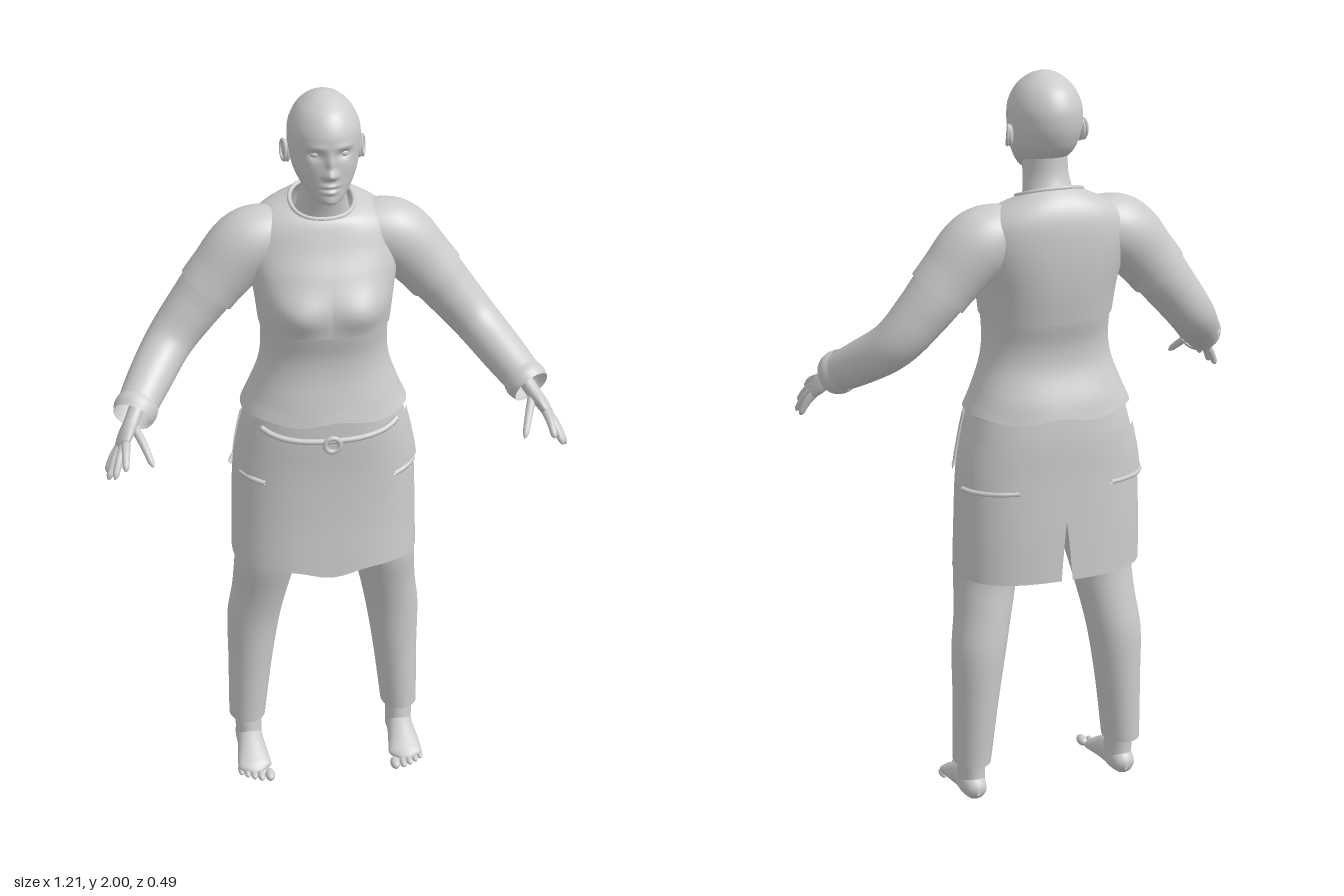
import * as THREE from 'three';
import { mergeVertices } from 'three/addons/utils/BufferGeometryUtils.js';

const V = (x, y, z) => new THREE.Vector3(x, y, z);
const gauss = (d, s) => Math.exp(-((d / s) ** 2));

// Smooth value of every column of rows [key, ...values] at a key
function sample(rows, k) {
  let i = 0;
  while (i < rows.length - 2 && k > rows[i + 1][0]) i++;
  const a = rows[i], b = rows[i + 1], p = rows[Math.max(i - 1, 0)], q = rows[Math.min(i + 2, rows.length - 1)];
  const h = b[0] - a[0], t = THREE.MathUtils.clamp((k - a[0]) / h, 0, 1);
  return a.map((_, c) => {
    const m0 = (b[c] - p[c]) / (b[0] - p[0]) * h, m1 = (q[c] - a[c]) / (q[0] - a[0]) * h;
    return (2 * t ** 3 - 3 * t * t + 1) * a[c] + (t ** 3 - 2 * t * t + t) * m0
      + (3 * t * t - 2 * t ** 3) * b[c] + (t ** 3 - t * t) * m1;
  });
}

// Point on a body of rows [y, halfWidth, zFront, zBack, centreX, frontLift]; angle 0 = back, PI = front
function surf(rows, y, th, { n = 2, off = 0, rule } = {}) {
  const [, hw, zf, zb, cx = 0, lift = 0] = sample(rows, y);
  const pw = (v) => Math.sign(v) * Math.abs(v) ** (2 / n), c = -Math.cos(th);
  const p = V(cx + pw(Math.sin(th)) * (hw + off), y + lift * c, (zf + zb) / 2 + pw(c) * ((zf - zb) / 2 + off));
  if (rule) rule(p);
  return p;
}

function grid(S, N, point, flip) {
  const pos = [], idx = [];
  for (let j = 0; j <= N; j++) for (let i = 0; i <= S; i++) pos.push(...point(i / S, j / N).toArray());
  for (let j = 0; j < N; j++) for (let i = 0; i < S; i++) {
    const a = j * (S + 1) + i, b = a + S + 1;
    if (flip) idx.push(a, a + 1, b, b, a + 1, b + 1);
    else idx.push(a, b, a + 1, b, b + 1, a + 1);
  }
  const g = new THREE.BufferGeometry();
  g.setAttribute('position', new THREE.Float32BufferAttribute(pos, 3));
  g.setIndex(idx);
  const m = mergeVertices(g, 1e-5);
  m.computeVertexNormals();
  return m;
}

// Stacked horizontal rings, or a patch of them
function loft(rows, o = {}) {
  const { y0 = rows[0][0], y1 = rows.at(-1)[0], a0 = 0, a1 = Math.PI * 2, S = 64, N = 40, gap, ease } = o;
  return grid(S, N, (u, v) => {
    const y = y0 + (y1 - y0) * (ease ? (1 - Math.cos(Math.PI * v)) / 2 : v);
    const g = gap ? gap(y) : 0;
    return surf(rows, y, a0 + g + (a1 - a0 - 2 * g) * u, o);
  });
}

// Oval tube through points [x, y, z, radiusU, radiusV]
function sweep(pts, { ref = V(0, 0, 1), round = false, S = 24, N = 24 } = {}) {
  const curve = new THREE.CatmullRomCurve3(pts.map((p) => V(p[0], p[1], p[2])));
  const radii = pts.map((p, i) => [i / (pts.length - 1), p[3], p[4] ?? p[3]]);
  return grid(S, N, (u, v) => {
    const t = round ? Math.sin(v * Math.PI / 2) : v;
    const end = round ? Math.sqrt(Math.max(0, Math.min(1, (1 - t) / 0.12))) : 1;
    const T = curve.getTangent(t), U = ref.clone().cross(T).normalize(), W = T.clone().cross(U);
    const [, a, b] = sample(radii, t), th = u * Math.PI * 2;
    return curve.getPoint(t).addScaledVector(U, Math.cos(th) * a * end).addScaledVector(W, Math.sin(th) * b * end);
  }, true);
}

const ball = (x, y, z, a, b, c) => new THREE.SphereGeometry(1, 20, 14).scale(a, b, c).translate(x, y, z);

export function createModel() {
  const model = new THREE.Group();
  model.name = 'figure';
  const grey = new THREE.MeshStandardMaterial({ color: 0xcccccc, side: THREE.DoubleSide });
  grey.name = 'plainGrey';
  const add = (name, g) => {
    const m = new THREE.Mesh(g, grey);
    m.name = name;
    model.add(m);
  };
  // Adds a part on the left and its mirror image on the right
  const pair = (name, g) => {
    add(name + 'Left', g);
    const r = g.clone().scale(-1, 1, 1);
    r.index.array.reverse();
    add(name + 'Right', r);
  };

  // Head with a face raised from smooth bumps [x, y, widthX, widthY, height]
  const bumps = [[0, 1.845, 0.01, 0.022, 0.01], [0, 1.817, 0.012, 0.011, 0.021], [0.013, 1.811, 0.007, 0.007, 0.006],
    [0.036, 1.866, 0.018, 0.012, -0.013], [0.035, 1.888, 0.025, 0.008, 0.004], [0.05, 1.83, 0.02, 0.02, 0.003],
    [0, 1.785, 0.02, 0.005, 0.007], [0, 1.777, 0.022, 0.003, -0.003], [0, 1.768, 0.017, 0.006, 0.007],
    [0, 1.742, 0.018, 0.012, 0.004]];
  const face = (p) => {
    if (p.z < -0.03) return;
    const { x, y } = p;
    for (const [bx, by, sx, sy, h] of bumps) p.z += h * gauss(Math.abs(x) - bx, sx) * gauss(y - by, sy);
  };
  add('head', loft([[1.728, 0, 0.015, 0.01], [1.732, 0.022, 0.033, -0.02], [1.745, 0.042, 0.039, -0.05],
    [1.77, 0.064, 0.04, -0.115], [1.8, 0.08, 0.041, -0.158], [1.84, 0.09, 0.04, -0.183], [1.88, 0.094, 0.043, -0.193],
    [1.92, 0.09, 0.038, -0.19], [1.96, 0.07, 0.013, -0.168], [1.985, 0.043, -0.024, -0.132],
    [1.996, 0.021, -0.056, -0.1], [2, 0, -0.078, -0.08]], { S: 112, N: 96, ease: true, rule: face }));
  pair('eye', ball(0.036, 1.866, 0.012, 0.015, 0.011, 0.014));
  pair('ear', ball(0, 0, 0, 0.009, 0.03, 0.018).rotateX(-0.2).rotateY(-0.35).translate(0.096, 1.84, -0.083));
  pair('earRim', new THREE.TorusGeometry(0.018, 0.004, 8, 24).scale(0.85, 1.4, 1).rotateY(Math.PI / 2 - 0.35)
    .rotateX(-0.2).translate(0.103, 1.842, -0.084));
  add('neck', loft([[1.62, 0.085, -0.05, -0.19], [1.69, 0.066, -0.035, -0.165], [1.74, 0.058, -0.018, -0.145],
    [1.82, 0.06, 0, -0.14]], { N: 16 }));

  // Shirt: lower body, and an upper layer ending in a step under the bust
  const lower = [[1.115, 0.224, 0.07, -0.247], [1.16, 0.206, 0.06, -0.235], [1.24, 0.177, 0.045, -0.205],
    [1.3, 0.168, 0.045, -0.202], [1.38, 0.17, 0.062, -0.22], [1.45, 0.175, 0.06, -0.22]];
  const upper = [[1.37, 0.174, 0.066, -0.224, 0, 0], [1.45, 0.184, 0.066, -0.237, 0, 0], [1.52, 0.198, 0.04, -0.243, 0, 0],
    [1.58, 0.203, 0.008, -0.243, 0, 0], [1.63, 0.19, -0.012, -0.238, 0, -0.004], [1.66, 0.158, -0.022, -0.226, 0, -0.012],
    [1.68, 0.118, -0.03, -0.205, 0, -0.02], [1.69, 0.084, -0.036, -0.18, 0, -0.027]];
  const bust = (p) => {
    if (p.z > -0.04) p.z += 0.022 * gauss(Math.abs(p.x) - 0.085, 0.065) * gauss(p.y - 1.43, 0.05);
  };
  const hem = (p) => { p.y += 0.006 * Math.sin(p.x * 30 + 1) * gauss(p.y - 1.115, 0.03); };
  const chest = { n: 2.3, rule: bust };
  add('shirtLower', loft(lower, { n: 2.3, rule: hem }));
  add('shirtUpper', loft(upper, chest));
  add('placket', loft(upper, { ...chest, off: 0.003, a0: Math.PI - 0.06, a1: Math.PI + 0.06, y1: 1.68, S: 8 }));
  const collar = Array.from({ length: 24 }, (_, i) => surf(upper, 1.69, i * Math.PI / 12, { n: 2.3 }));
  add('collar', new THREE.TubeGeometry(new THREE.CatmullRomCurve3(collar, true), 64, 0.006, 8, true));

  // Sleeves, with a short overlapping cap at the shoulder
  const arm = [[0.1, 1.6, -0.12, 0.07, 0.075], [0.19, 1.575, -0.118, 0.089, 0.088], [0.27, 1.495, -0.112, 0.08, 0.08],
    [0.34, 1.41, -0.105, 0.071, 0.073], [0.41, 1.325, -0.08, 0.063, 0.067], [0.475, 1.255, 0.005, 0.058, 0.06],
    [0.525, 1.203, 0.088, 0.05, 0.052]];
  pair('sleeve', sweep(arm, { S: 40, N: 56 }));
  pair('sleeveCap', sweep([...arm.slice(0, 3), [0.305, 1.453, -0.109, 0.077, 0.078]]
    .map(([x, y, z, a, b]) => [x, y, z, a + 0.004, b + 0.004]), { S: 40 }));
  pair('cuff', sweep([[0.508, 1.22, 0.06, 0.055, 0.057], [0.518, 1.21, 0.077, 0.058, 0.059],
    [0.528, 1.2, 0.094, 0.052, 0.054]], { N: 8 }));

  // Hands
  const palmSide = V(-0.85, -0.53, 0);
  pair('palm', sweep([[0.51, 1.22, 0.065, 0.026, 0.02], [0.532, 1.19, 0.105, 0.026, 0.019], [0.55, 1.168, 0.132, 0.036, 0.017],
    [0.567, 1.143, 0.165, 0.034, 0.012]], { ref: palmSide, round: true }));
  const fingers = [[[0.552, 1.164, 0.175], [0.56, 1.123, 0.243]], [[0.558, 1.154, 0.163], [0.588, 1.092, 0.225]],
    [[0.565, 1.146, 0.148], [0.603, 1.076, 0.195]], [[0.566, 1.141, 0.135], [0.604, 1.077, 0.154]],
    [[0.528, 1.185, 0.11], [0.487, 1.113, 0.214]]];
  fingers.forEach(([a, b], i) => {
    const mid = a.map((v, k) => (v + b[k]) / 2);
    mid[1] += 0.007;
    pair(i < 4 ? 'finger' + (i + 1) : 'thumb',
      sweep([[...a, 0.012], [...mid, 0.0105], [...b, 0.008]], { ref: palmSide, round: true, S: 14, N: 16 }));
  });

  // Skirt with a back slit and a dipped front hem
  const skirt = [[0.668, 0.254, 0.074, -0.246], [0.8, 0.252, 0.062, -0.243], [0.95, 0.245, 0.057, -0.238],
    [1.05, 0.226, 0.06, -0.236], [1.13, 0.205, 0.06, -0.228]];
  const drape = (p) => { if (p.z > 0) p.y -= 0.022 * gauss(p.x, 0.07) * gauss(p.y - 0.668, 0.04); };
  const cloth = { n: 2.5, rule: drape };
  const slit = (y) => 0.03 * Math.max(0, (0.83 - y) / 0.16);
  add('skirt', loft(skirt, { ...cloth, gap: slit, S: 96 }));

  // Pockets lying on the skirt, with folded flaps
  const fold = (y, a0, a1, drop) => new THREE.TubeGeometry(new THREE.CatmullRomCurve3(
    Array.from({ length: 7 }, (_, i) => surf(skirt, y - drop * i / 6, a0 + (a1 - a0) * i / 6, { ...cloth, off: 0.005 }))), 20, 0.007, 8);
  pair('sidePocket', loft(skirt, { ...cloth, off: 0.008, a0: 1.72, a1: 2.35, y0: 0.95, y1: 1.1, S: 16, N: 12 }));
  pair('frontFlap', fold(0.935, 2.45, 1.95, -0.015));
  pair('backPocket', loft(skirt, { ...cloth, off: 0.008, a0: 0.45, a1: 1.2, y0: 0.93, y1: 1.06, S: 16, N: 12 }));
  pair('backFlap', fold(0.925, 0.45, 1.4, 0.005));

  // Waist cord and ring
  const cord = Array.from({ length: 11 }, (_, i) => {
    const s = i / 5 - 1;
    return surf(skirt, 1.068 + 0.03 * s * s, Math.PI - s * 0.9, { n: 2.5, off: 0.008 });
  });
  add('waistCord', new THREE.TubeGeometry(new THREE.CatmullRomCurve3(cord), 40, 0.008, 8));
  add('waistRing', new THREE.TorusGeometry(0.02, 0.007, 10, 28).translate(0, 1.06, 0.076));

  // Trouser legs
  pair('trouserLeg', loft([[0.115, 0.051, -0.034, -0.162, 0.22], [0.3, 0.062, -0.03, -0.172, 0.208],
    [0.45, 0.074, -0.02, -0.176, 0.196], [0.55, 0.078, 0, -0.165, 0.179], [0.66, 0.088, 0.028, -0.155, 0.162],
    [0.8, 0.104, 0.04, -0.18, 0.132], [0.95, 0.112, 0.04, -0.2, 0.112], [1.08, 0.1, 0.03, -0.2, 0.1]], { S: 40 }));

  // Bare feet
  pair('ankle', loft([[0.03, 0.036, -0.03, -0.14, 0.218], [0.07, 0.037, -0.035, -0.135, 0.218],
    [0.17, 0.038, -0.055, -0.14, 0.22]], { S: 28, N: 10 }));
  pair('foot', sweep([[0.219, 0.03, -0.15, 0.004, 0.008], [0.219, 0.033, -0.14, 0.026, 0.026], [0.219, 0.042, -0.1, 0.036, 0.042],
    [0.218, 0.042, -0.05, 0.037, 0.042], [0.218, 0.031, 0, 0.043, 0.031], [0.217, 0.02, 0.04, 0.047, 0.02],
    [0.214, 0.014, 0.07, 0.04, 0.012]], { ref: V(0, 1, 0), round: true, S: 28 }));
  [[0.18, 0.085, 0.014], [0.204, 0.079, 0.0105], [0.223, 0.069, 0.01], [0.241, 0.057, 0.0095], [0.257, 0.043, 0.009]]
    .forEach(([x, z, r], i) => pair('toe' + (i + 1), ball(x, r, z, r, r, 0.024)));

  return model;
}
